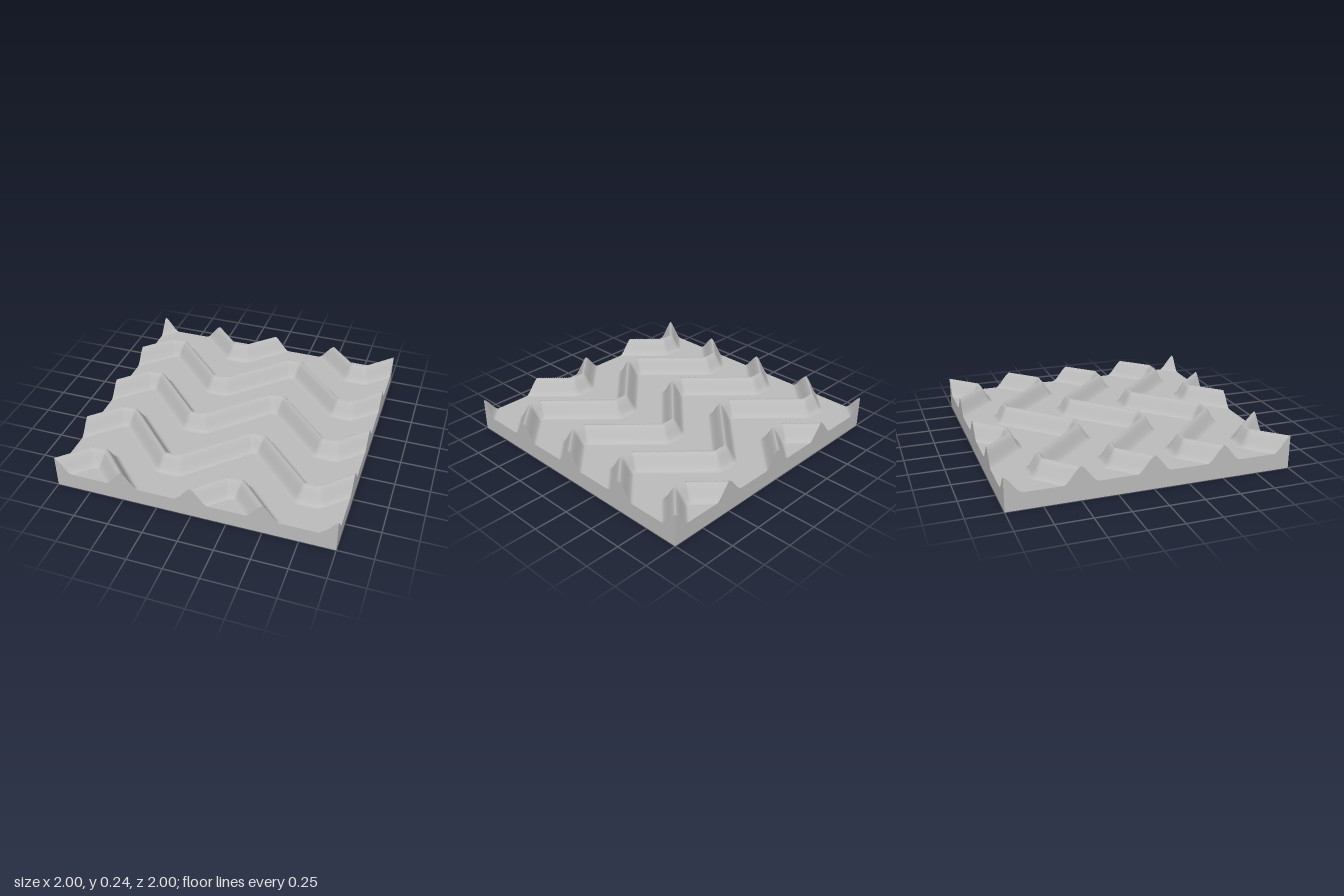
import * as THREE from 'three';

const FLOOR = 0.12, CREST = 0.24, HALF_WIDTH = 0.08, ROW = 0.5, SEGMENTS = 160;

// Half a period of the zigzag crest: flat apex, diagonal, flat trough.
const crestLine = [[0, -0.2], [0.05, -0.2], [0.45, 0.2], [0.5, 0.2]];

function segmentDistance(x, z, [ax, az], [bx, bz]) {
  const dx = bx - ax, dz = bz - az;
  const t = THREE.MathUtils.clamp(((x - ax) * dx + (z - az) * dz) / (dx * dx + dz * dz), 0, 1);
  return Math.hypot(x - ax - t * dx, z - az - t * dz);
}

// Surface height from the distance to the nearest zigzag crest.
function heightAt(x, z) {
  const u = Math.abs(THREE.MathUtils.euclideanModulo(x + 0.25, 1) - 0.5);
  let d = HALF_WIDTH;
  for (let row = -3; row <= 3; row++) {
    for (let i = 0; i < 3; i++) {
      d = Math.min(d, segmentDistance(u, z - row * ROW, crestLine[i], crestLine[i + 1]));
    }
  }
  const t = 1 - d / HALF_WIDTH;
  const rounded = 0.5 - 0.5 * Math.cos(Math.PI * t);
  return FLOOR + (CREST - FLOOR) * (0.5 * t + 0.5 * rounded);
}

// Lift the vertices above y = 0 to the ridged surface.
function liftToSurface(geometry) {
  const p = geometry.attributes.position;
  for (let i = 0; i < p.count; i++) {
    if (p.getY(i) > 0.01) p.setY(i, heightAt(p.getX(i), p.getZ(i)));
  }
  geometry.computeVertexNormals();
  return geometry;
}

export function createModel() {
  const group = new THREE.Group();
  group.name = 'ridgedPanel';
  const grey = new THREE.MeshStandardMaterial({ color: 0xbcbcbc });
  grey.name = 'light grey';

  const add = (name, geometry) => {
    const mesh = new THREE.Mesh(geometry, grey);
    mesh.name = name;
    group.add(mesh);
  };

  // Zigzag ridges and the flat channels between them
  const top = new THREE.PlaneGeometry(2, 2, SEGMENTS, SEGMENTS);
  top.rotateX(-Math.PI / 2).translate(0, 1, 0);
  add('ridgedTop', liftToSurface(top));

  // Four side walls cut to the ridge profile
  ['frontWall', 'leftWall', 'backWall', 'rightWall'].forEach((name, i) => {
    const wall = new THREE.PlaneGeometry(2, 1, SEGMENTS, 1);
    wall.translate(0, 0.5, 1).rotateY(i * Math.PI / 2);
    add(name, liftToSurface(wall));
  });

  // Flat underside
  add('underside', new THREE.PlaneGeometry(2, 2).rotateX(Math.PI / 2));

  return group;
}
